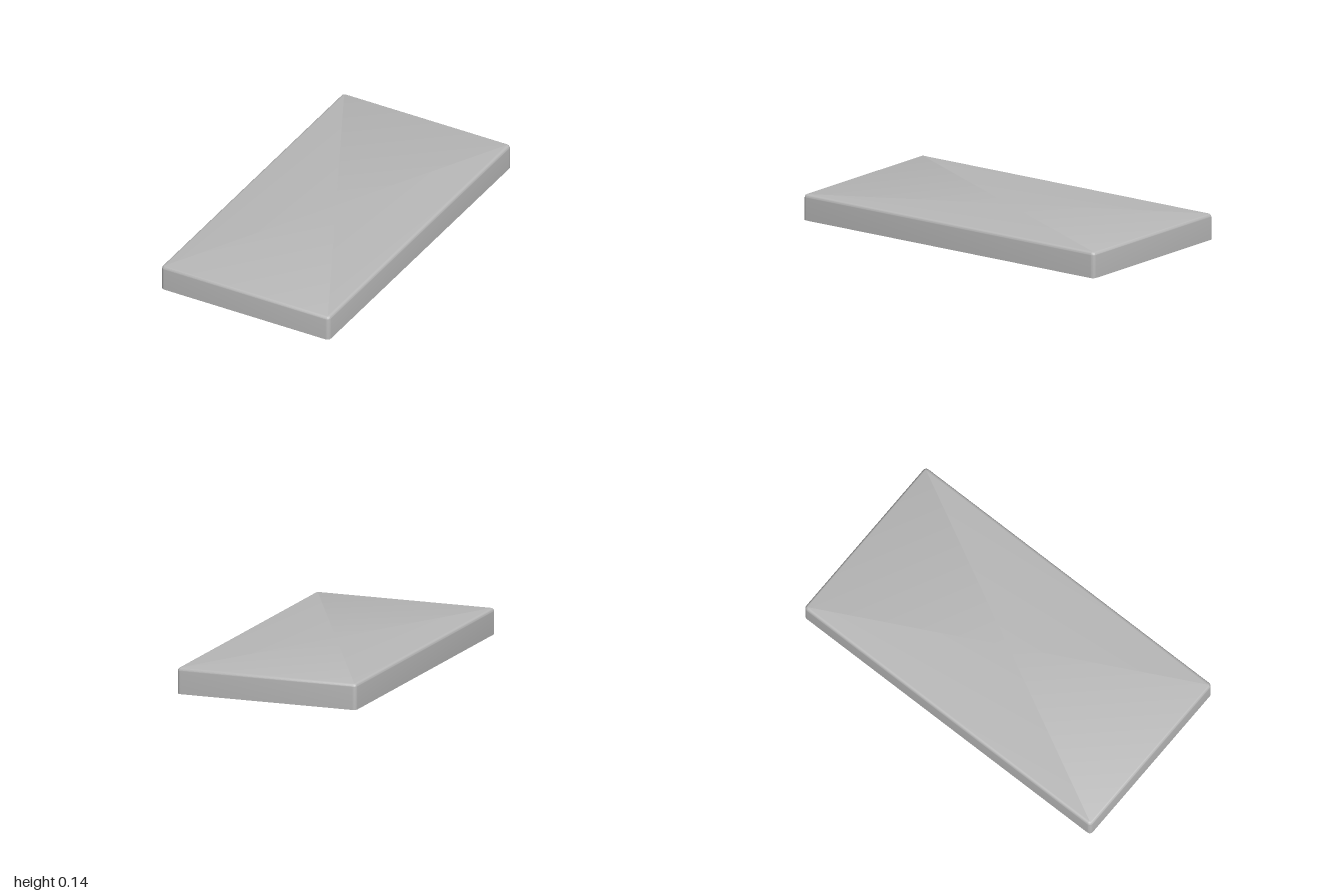
import * as THREE from 'three';
import { toCreasedNormals } from 'three/addons/utils/BufferGeometryUtils.js';

const HALF_W = 0.525, HALF_L = 1, HEIGHT = 0.145;
const WALL = 0.024, FILLET = 0.018, CEILING = 0.1, POCKET = 0.03;

// Rounded rectangle ring at height y, drawn in by inset
function ring(inset, radius, y, steps = 6) {
  const points = [];
  const cx = HALF_W - inset - radius, cz = HALF_L - inset - radius;
  const corners = [[1, 1], [-1, 1], [-1, -1], [1, -1]];
  corners.forEach(([sx, sz], q) => {
    for (let i = 0; i <= steps; i++) {
      const a = (q + i / steps) * Math.PI / 2;
      points.push([sx * cx + radius * Math.cos(a), y, sz * cz + radius * Math.sin(a)]);
    }
  });
  return points;
}

// Open-bottomed cover: inner wall, rim, outer wall, rounded top edge and cap
function coverGeometry() {
  const rings = [
    ring(WALL, 0.012, CEILING + 0.005),
    ring(WALL, 0.012, 0),
    ring(0, 0.022, 0),
  ];
  for (let i = 0; i <= 6; i++) {
    const a = i / 6 * Math.PI / 2;
    const inset = FILLET * (1 - Math.cos(a));
    rings.push(ring(inset, 0.022 - inset, HEIGHT - FILLET + FILLET * Math.sin(a)));
  }
  const pos = [];
  const n = rings[0].length;
  for (let r = 0; r < rings.length - 1; r++) {
    const lo = rings[r], hi = rings[r + 1];
    for (let j = 0; j < n; j++) {
      const k = (j + 1) % n;
      pos.push(...lo[j], ...hi[j], ...lo[k], ...lo[k], ...hi[j], ...hi[k]);
    }
  }
  const top = rings[rings.length - 1];
  for (let j = 0; j < n; j++) pos.push(0, HEIGHT, 0, ...top[(j + 1) % n], ...top[j]);
  const geometry = new THREE.BufferGeometry();
  geometry.setAttribute('position', new THREE.Float32BufferAttribute(pos, 3));
  return toCreasedNormals(geometry, Math.PI / 6);
}

// Ceiling plate pierced by staggered hexagons, trimmed along both long sides
function honeycombGeometry() {
  const pitch = 0.0975, rowStep = 0.085, apothem = 0.042, limit = 0.366;
  const w = HALF_W - WALL / 2, l = HALF_L - WALL / 2;
  const shape = new THREE.Shape([
    new THREE.Vector2(-w, -l), new THREE.Vector2(w, -l),
    new THREE.Vector2(w, l), new THREE.Vector2(-w, l),
  ]);
  const radius = apothem / Math.cos(Math.PI / 6);
  for (let row = 0; row < 20; row++) {
    const side = row % 2 ? -1 : 1;
    const cy = (row - 9.5) * rowStep;
    for (let k = 0; k < 8; k++) {
      const cx = side * (-3.25 + k) * pitch;
      const points = [];
      for (let i = 0; i < 6; i++) {
        const a = Math.PI / 6 + i * Math.PI / 3;
        const x = THREE.MathUtils.clamp(cx + radius * Math.cos(a), -limit, limit);
        points.push(new THREE.Vector2(x, cy + radius * Math.sin(a)));
      }
      shape.holes.push(new THREE.Path(points));
    }
  }
  const geometry = new THREE.ExtrudeGeometry(shape, { depth: POCKET, bevelEnabled: false });
  geometry.rotateX(-Math.PI / 2);
  geometry.translate(0, CEILING, 0);
  return geometry;
}

export function createModel() {
  const model = new THREE.Group();
  model.name = 'honeycombCover';
  const grey = new THREE.MeshStandardMaterial({ color: 0xb8b8b8 });
  grey.name = 'grey';

  function add(name, geometry, x = 0, y = 0, z = 0) {
    const mesh = new THREE.Mesh(geometry, grey);
    mesh.name = name;
    mesh.position.set(x, y, z);
    model.add(mesh);
    return mesh;
  }

  add('cover', coverGeometry());
  add('honeycombCeiling', honeycombGeometry());

  // Closed ends of the hexagonal pockets
  add('pocketFloor', new THREE.BoxGeometry(0.8, 0.006, 1.78), 0, CEILING + POCKET + 0.003, 0);

  // Snap bumps on the inside of the long walls
  const bump = new THREE.SphereGeometry(0.018, 20, 14);
  for (const sx of [-1, 1]) {
    for (const sz of [-1, 1]) {
      add('snapBump', bump, sx * (HALF_W - WALL), 0.052, sz * 0.615).scale.x = 0.7;
    }
  }
  return model;
}
